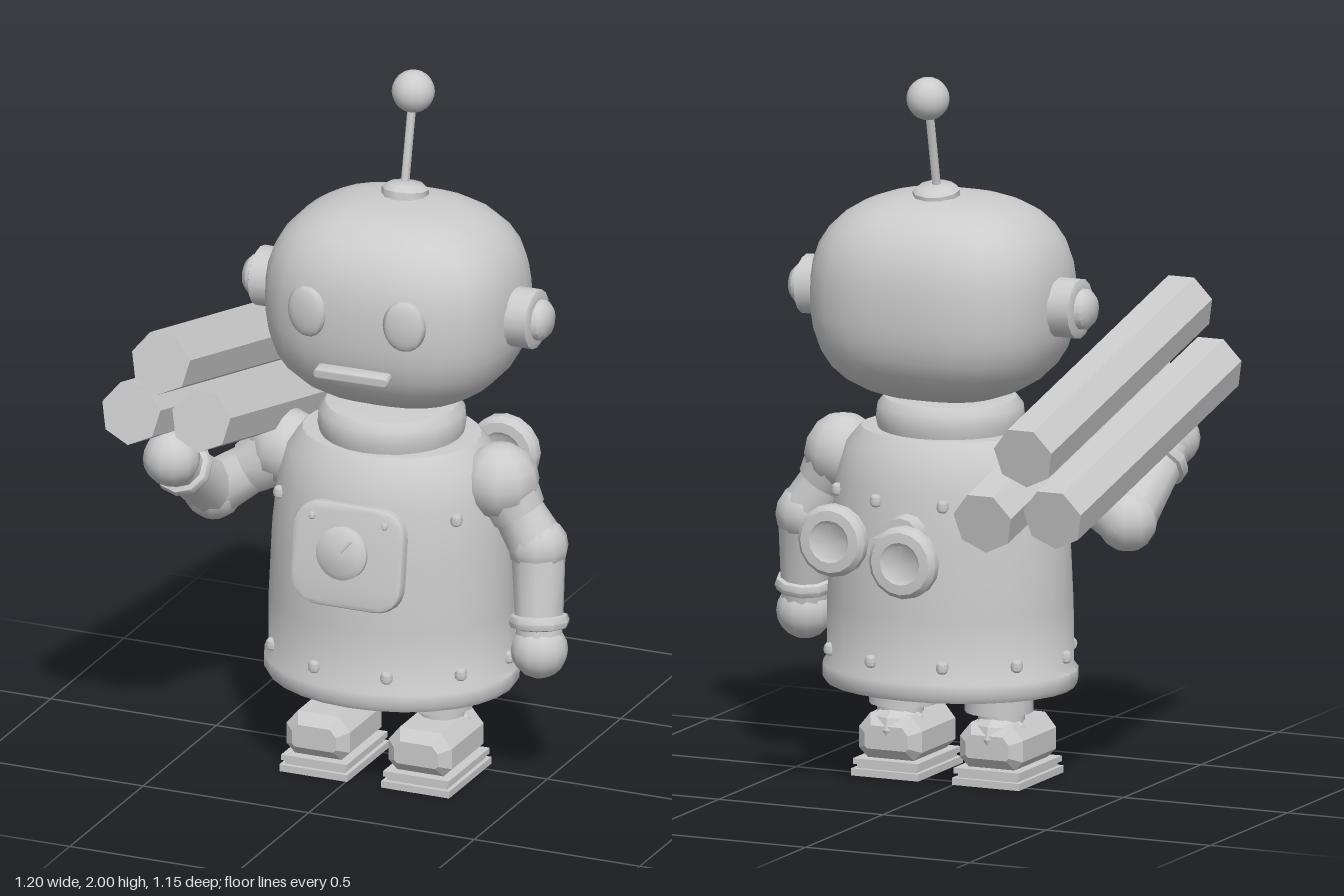
import * as THREE from 'three';
import { toCreasedNormals } from 'three/addons/utils/BufferGeometryUtils.js';

const CX = 0.055, CZ = 0.055; // axis of the robot
const V = (x, y, z) => new THREE.Vector3(x, y, z);
const UP = V(0, 1, 0);

export function createModel() {
  const root = new THREE.Group();
  const mat = new THREE.MeshStandardMaterial({ color: 0xcccccc });

  function add(name, geo, pos = V(0, 0, 0), parent = root, crease = 0.7) {
    const mesh = new THREE.Mesh(toCreasedNormals(geo, crease), mat);
    mesh.name = name;
    mesh.position.copy(pos);
    parent.add(mesh);
    return mesh;
  }
  // Lathe from [radius, height] pairs
  const lathe = (pts, seg = 24) => new THREE.LatheGeometry(pts.map(p => new THREE.Vector2(...p)), seg);
  const ball = (r, w = 16, h = 12) => new THREE.SphereGeometry(r, w, h);
  // Tapered round bar from a to b
  function bar(name, a, b, ra, rb, seg, parent) {
    const m = add(name, new THREE.CylinderGeometry(rb, ra, a.distanceTo(b), seg), a.clone().lerp(b, 0.5), parent, 0.9);
    m.quaternion.setFromUnitVectors(UP, b.clone().sub(a).normalize());
    return m;
  }
  // Flat outline with bevelled edges, centred in depth
  function slab(shape, depth, bevel) {
    const g = new THREE.ExtrudeGeometry(shape, {
      depth, bevelEnabled: true, bevelSize: bevel, bevelThickness: bevel, bevelSegments: 2, curveSegments: 6 });
    return g.translate(0, 0, -depth / 2);
  }

  // Torso: oval barrel with a rim, and a round collar
  const torso = lathe([[0, 0.27], [0.3, 0.27], [0.308, 0.285], [0.308, 0.32], [0.298, 0.335], [0.297, 0.5],
    [0.289, 0.7], [0.275, 0.85], [0.252, 0.94], [0.215, 0.99], [0, 1.0]], 28).scale(1.18, 1, 1);
  add('torso', torso, V(CX, 0, CZ));
  add('collar', lathe([[0.17, 0.97], [0.2, 0.99], [0.207, 1.02], [0.203, 1.055], [0.185, 1.078], [0, 1.1]]), V(CX, 0, CZ));

  // Two rings of rivets
  for (const [y, r] of [[0.37, 0.299], [0.82, 0.28]]) {
    for (let i = 0; i < 10; i++) {
      const a = (i + 0.5) * Math.PI / 5;
      add('rivet', ball(0.019, 8, 6), V(CX + Math.sin(a) * r * 1.18, y, CZ + Math.cos(a) * r), root, 1.2);
    }
  }

  // Chest panel with dial and needle
  const panel = new THREE.Group();
  panel.name = 'chestPanel';
  panel.position.set(CX, 0.717, 0.345);
  panel.rotation.x = -0.13;
  root.add(panel);
  const w = 0.155, h = 0.135, c = 0.075;
  const plate = new THREE.Shape();
  plate.moveTo(-w + c, -h);
  plate.lineTo(w - c, -h).quadraticCurveTo(w, -h, w, -h + c);
  plate.lineTo(w, h - c).quadraticCurveTo(w, h, w - c, h);
  plate.lineTo(-w + c, h).quadraticCurveTo(-w, h, -w, h - c);
  plate.lineTo(-w, -h + c).quadraticCurveTo(-w, -h, -w + c, -h);
  add('panelPlate', slab(plate, 0.02, 0.013), V(0, 0, 0), panel);
  const dial = add('dial', lathe([[0.045, 0], [0.045, 0.035], [0.076, 0.04], [0.076, 0.052], [0.06, 0.062], [0, 0.066]]), V(0, 0.02, 0.01), panel);
  dial.rotation.x = Math.PI / 2;
  const needle = add('dialNeedle', new THREE.BoxGeometry(0.008, 0.06, 0.008), V(0.015, 0.04, 0.077), panel);
  needle.rotation.z = -0.7;
  for (const x of [-0.11, 0.11]) add('panelScrew', ball(0.012, 8, 6), V(x, 0.105, 0.02), panel, 1.2);

  // Head: sphere pushed out towards a rounded box
  const skull = ball(1, 28, 20), p = skull.attributes.position, n = 2.6;
  for (let i = 0; i < p.count; i++) {
    const v = V(0, 0, 0).fromBufferAttribute(p, i);
    const k = (Math.abs(v.x) ** n + Math.abs(v.y) ** n + Math.abs(v.z) ** n) ** (-1 / n);
    p.setXYZ(i, v.x * k * 0.36, v.y * k * 0.29, v.z * k * 0.307);
  }
  add('head', skull, V(CX, 1.37, 0.01), root, 1.2);

  // Eyes and ears, mirrored
  for (const s of [-1, 1]) {
    const eye = add('eye', ball(1, 20, 12).scale(0.062, 0.074, 0.02), V(CX + s * 0.147, 1.405, 0.303), root, 1.5);
    eye.rotation.y = s * 0.16;
    const ear = add('ear', lathe([[0, 0], [0.084, 0], [0.084, 0.118], [0.07, 0.124], [0.058, 0.124],
      [0.056, 0.14], [0.04, 0.156], [0, 0.162]], 16), V(CX + s * 0.3, 1.365, 0.01));
    ear.rotation.z = -s * Math.PI / 2;
  }
  const mouth = new THREE.Shape();
  mouth.absellipse(-0.095, 0, 0.009, 0.009, Math.PI / 2, Math.PI * 1.5);
  mouth.absellipse(0.095, 0, 0.009, 0.009, -Math.PI / 2, Math.PI / 2);
  const lips = add('mouth', slab(mouth, 0.035, 0.005), V(CX, 1.245, 0.325));
  lips.rotation.set(0.1, 0.08, -0.03);

  // Antenna, leaning back
  const mount = add('antennaBase', lathe([[0.066, -0.03], [0.066, 0.012], [0.05, 0.026], [0, 0.034]], 10), V(CX, 1.66, -0.035));
  mount.rotation.x = -0.15;
  bar('antennaRod', V(0.052, 1.66, -0.035), V(CX, 1.92, -0.085), 0.012, 0.012, 10);
  add('antennaBall', ball(0.06), V(CX, 1.94, -0.09), root, 1.2);

  // Legs and feet, mirrored
  for (const s of [-1, 1]) {
    const leg = new THREE.Group();
    leg.name = s > 0 ? 'leftLeg' : 'rightLeg';
    leg.position.set(CX + s * 0.154, 0, 0);
    root.add(leg);
    add('hip', new THREE.CylinderGeometry(0.095, 0.095, 0.09, 16), V(-s * 0.008, 0.245, 0.06), leg);
    add('ankle', new THREE.CylinderGeometry(0.065, 0.065, 0.08, 12), V(0, 0.18, 0.06), leg);
    add('ankleJoint', ball(0.085, 8, 6).scale(1, 0.8, 1), V(0, 0.135, 0.045), leg, 0.3);
    const boot = new THREE.Shape([[-0.07, 0.05], [0.07, 0.05], [0.096, 0.075], [0.096, 0.135],
      [0.062, 0.176], [-0.062, 0.176], [-0.096, 0.135], [-0.096, 0.075]].map(q => new THREE.Vector2(...q)));
    const shoe = new THREE.ExtrudeGeometry(boot, { depth: 0.215, bevelSize: 0.03, bevelOffset: -0.03, bevelThickness: 0.03, bevelSegments: 1 });
    add('shoe', shoe, V(0, 0, -0.005), leg, 0.3);
    const sole = new THREE.BoxGeometry(0.205, 0.02, 0.29);
    add('sole', sole, V(0, 0.012, 0.1), leg);
    add('soleGap', new THREE.BoxGeometry(0.18, 0.02, 0.265), V(0, 0.028, 0.1), leg);
    add('soleTop', new THREE.BoxGeometry(0.198, 0.016, 0.28), V(0, 0.042, 0.1), leg);
  }

  // Arm: shoulder, elbow, cuff and ball hand
  function arm(name, shoulder, elbow, hand) {
    const g = new THREE.Group();
    g.name = name;
    root.add(g);
    add('shoulder', ball(0.11, 10, 8), shoulder, g, 0.8);
    const mid = shoulder.clone().lerp(elbow, 0.5);
    bar('upperArm', shoulder, mid, 0.1, 0.078, 10, g);
    bar('upperArmEnd', mid, elbow, 0.072, 0.08, 10, g);
    add('elbow', ball(0.085, 10, 8), elbow, g, 0.8);
    const wrist = elbow.clone().lerp(hand, 0.72);
    bar('forearm', elbow, wrist, 0.077, 0.068, 10, g);
    const cuff = add('cuff', lathe([[0.062, -0.022], [0.08, -0.016], [0.086, 0], [0.08, 0.016], [0.062, 0.022]], 10), wrist, g);
    cuff.quaternion.setFromUnitVectors(UP, hand.clone().sub(elbow).normalize());
    bar('wrist', wrist, hand, 0.066, 0.066, 10, g);
    add('hand', ball(0.08, 12, 10), hand, g, 1);
  }
  arm('leftArm', V(0.385, 0.89, 0.06), V(0.495, 0.71, 0.05), V(0.52, 0.425, 0.1));
  arm('rightArm', V(-0.26, 0.89, 0.06), V(-0.455, 0.755, 0.12), V(-0.465, 0.94, 0.385));

  // Three seven-sided logs resting over the right shoulder
  for (const [x, y, z] of [[-0.425, 1.165, 0.03], [-0.517, 1.0, 0.025], [-0.332, 0.985, -0.035]]) {
    const log = new THREE.CylinderGeometry(0.09, 0.09, 1.07, 7).rotateX(Math.PI / 2);
    const m = add('log', log.rotateZ(0), V(x, y, z), root, 0.3);
    m.rotation.x = -0.23;
  }

  // Wind-up key on the back
  const flange = add('keyFlange', new THREE.CylinderGeometry(0.055, 0.062, 0.06, 12), V(CX, 0.735, -0.24));
  flange.rotation.x = -Math.PI / 2;
  bar('keyShaft', V(CX, 0.735, -0.2), V(CX, 0.735, -0.43), 0.03, 0.03, 12);
  for (const s of [-1, 1]) {
    const wing = add('keyWing', lathe([[0, -0.022], [0.05, -0.022], [0.06, -0.03], [0.088, -0.028], [0.102, -0.012],
      [0.102, 0.012], [0.088, 0.028], [0.06, 0.03], [0.05, 0.022], [0, 0.022]], 16), V(CX + s * 0.108, 0.735 + s * 0.022, -0.475));
    wing.rotation.x = Math.PI / 2;
  }
  return root;
}
